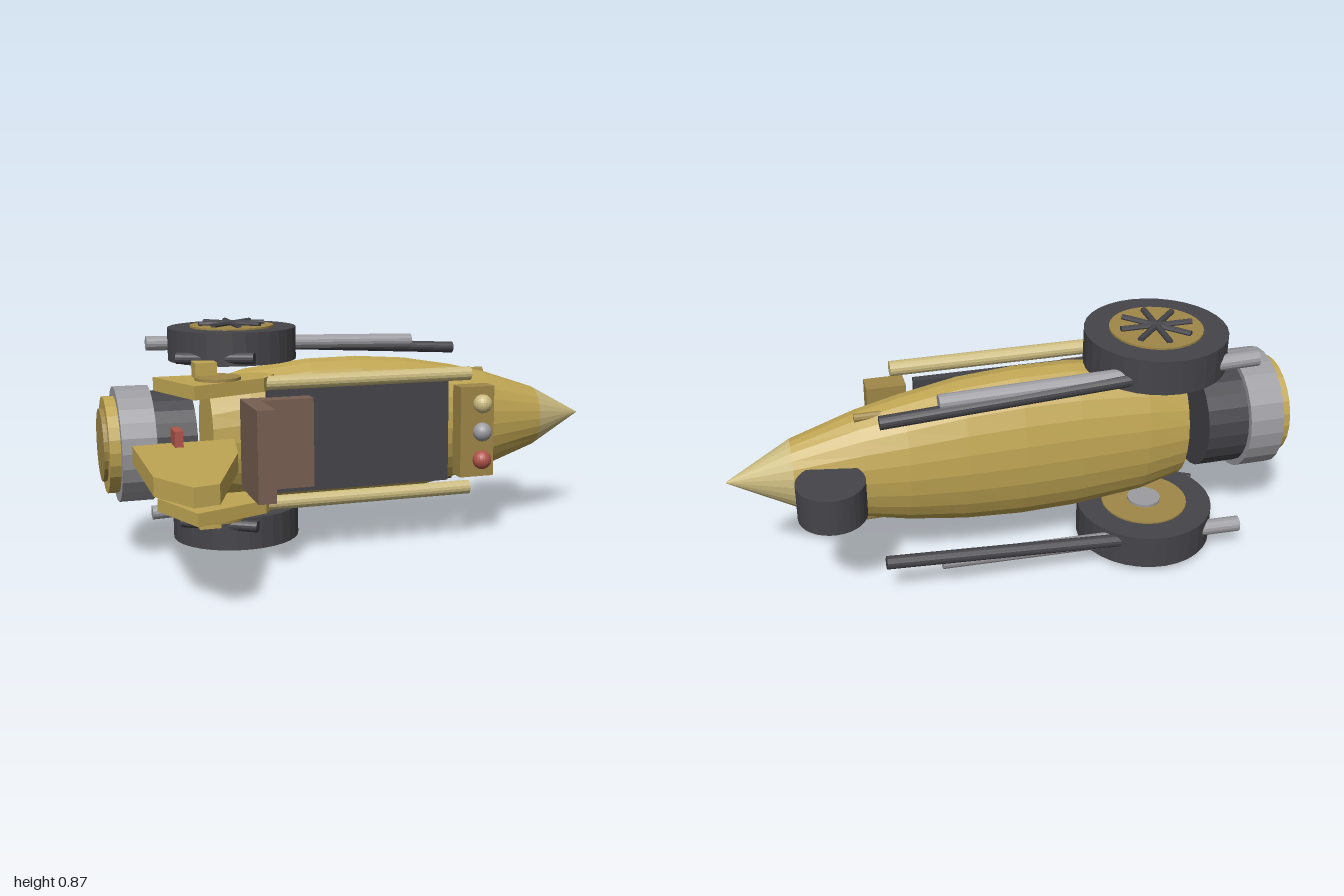
import * as THREE from 'three';

const MID = 0.434; // height of the mirror plane between the two flanks

export function createModel() {
  const mat = (name, color) => {
    const m = new THREE.MeshStandardMaterial({ color, flatShading: true });
    m.name = name;
    return m;
  };
  const gold = mat('gold', 0xbfa553);
  const bronze = mat('bronze', 0x9f8747);
  const pale = mat('paleGold', 0xcbbb80);
  const dark = mat('charcoal', 0x454449);
  const grey = mat('grey', 0x9c9ca1);
  const brown = mat('brown', 0x775f51);
  const red = mat('red', 0xb0554a);

  const model = new THREE.Group();
  model.name = 'racer';
  const add = (name, geo, material, x = 0, y = 0, z = 0) => {
    const m = new THREE.Mesh(geo, material);
    m.name = name;
    m.position.set(x, y, z);
    model.add(m);
    return m;
  };
  // Box given by its minimum and maximum corners
  const box = (name, material, a, b) =>
    add(name, new THREE.BoxGeometry(b[0] - a[0], b[1] - a[1], b[2] - a[2]), material,
      (a[0] + b[0]) / 2, (a[1] + b[1]) / 2, (a[2] + b[2]) / 2);
  // Round rod between two points
  const rod = (name, material, a, b, r, sides = 16) => {
    const p = new THREE.Vector3(...a), q = new THREE.Vector3(...b);
    const d = q.clone().sub(p);
    const m = add(name, new THREE.CylinderGeometry(r, r, d.length(), sides), material);
    m.position.copy(p).add(q).multiplyScalar(0.5);
    m.quaternion.setFromUnitVectors(new THREE.Vector3(0, 1, 0), d.normalize());
    return m;
  };
  // Plate cut from an x-z outline, spanning y0 to y1
  const plate = (name, material, pts, y0, y1) => {
    const shape = new THREE.Shape(pts.map(([x, z]) => new THREE.Vector2(x, -z)));
    const geo = new THREE.ExtrudeGeometry(shape, { depth: y1 - y0, bevelEnabled: false });
    geo.rotateX(-Math.PI / 2);
    return add(name, geo, material, 0, y0, 0);
  };
  // Elliptical loft along x; each section is [x, half y, half z, centre z]
  const loft = (name, material, sections, sides = 24) => {
    const n = sections.length - 1;
    const geo = new THREE.CylinderGeometry(1, 1, 1, sides, n);
    const p = geo.attributes.position;
    for (let i = 0; i < p.count; i++) {
      const [x, ry, rz, cz] = sections[Math.round((p.getY(i) + 0.5) * n)];
      p.setXYZ(i, x, MID - p.getX(i) * ry, cz + p.getZ(i) * rz);
    }
    geo.computeVertexNormals();
    return add(name, geo, material);
  };

  // Hull and nose
  loft('hull', gold, [
    [-0.6, 0.21, 0.15, -0.31], [-0.45, 0.255, 0.165, -0.315], [-0.2, 0.283, 0.172, -0.318],
    [0, 0.285, 0.175, -0.321], [0.2, 0.27, 0.172, -0.324], [0.4, 0.235, 0.157, -0.332],
    [0.55, 0.2, 0.138, -0.334], [0.78, 0.122, 0.096, -0.34],
  ]);
  loft('noseCone', pale, [[0.78, 0.122, 0.096, -0.34], [1, 0.002, 0.002, -0.348]]);

  // Engine at the tail
  const ring = (name, material, x0, x1, r) =>
    rod(name, material, [x0, MID, -0.28], [x1, MID, -0.28], r, 24);
  ring('engineDrum', dark, -0.83, -0.67, 0.193);
  ring('engineCollar', grey, -0.945, -0.82, 0.215);
  ring('engineRim', gold, -0.985, -0.945, 0.18);
  ring('engineCap', bronze, -1, -0.98, 0.135);

  // Tail fin and red cross light
  plate('tailFin', gold, [[-0.91, -0.08], [-0.91, 0.44], [-0.815, 0.625], [-0.73, 0.605],
    [-0.58, 0.17], [-0.54, -0.08]], 0.4, 0.465);
  box('tailLight', red, [-0.77, MID - 0.088, -0.085], [-0.74, MID + 0.088, 0.012]);

  // Cockpit
  box('cockpitFloor', dark, [-0.4, 0.234, -0.165], [0.325, 0.634, -0.135]);
  box('seatBase', brown, [-0.44, 0.265, -0.14], [-0.24, 0.602, -0.07]);
  box('seatBack', brown, [-0.503, 0.265, -0.14], [-0.437, 0.602, 0.137]);
  box('dashboard', bronze, [0.35, 0.255, -0.148], [0.49, 0.612, -0.068]);
  [[red, 0.323], [grey, 0.434], [pale, 0.545]].forEach(([m, y]) =>
    add('dashKnob', new THREE.SphereGeometry(0.037, 20, 14), m, 0.437, y, -0.057));

  // Front wheel
  add('frontWheel', new THREE.CylinderGeometry(0.115, 0.115, 0.13, 32), dark, 0.67, 0.431, -0.522);

  // Parts repeated on both flanks
  for (const s of [-1, 1]) {
    const Y = (d) => MID + s * d;
    const slab = (name, m, pts, d0, d1) =>
      plate(name, m, pts, Math.min(Y(d0), Y(d1)), Math.max(Y(d0), Y(d1)));
    const disc = (name, m, r, x, z, d0, d1, sides = 32) =>
      rod(name, m, [x, Y(d0), z], [x, Y(d1), z], r, sides);
    const wx = -0.477, wz = -0.38;

    // Rear wheel with hub and crossed spokes
    disc('rearWheel', dark, 0.245, wx, wz, 0.288, 0.411);
    disc('outerHub', bronze, 0.16, wx, wz, 0.4, 0.418);
    disc('innerHub', bronze, 0.155, wx, wz, 0.282, 0.3);
    disc('axle', grey, 0.06, wx, wz, 0.272, 0.3, 20);
    for (let i = 0; i < 4; i++) {
      const a = (i * Math.PI) / 4, dx = 0.127 * Math.cos(a), dz = 0.127 * Math.sin(a);
      rod('spoke', dark, [wx - dx, Y(0.423), wz - dz], [wx + dx, Y(0.423), wz + dz], 0.011, 8);
    }

    // Side rail, exhaust tubes and strut
    rod('sideRail', pale, [-0.42, Y(0.227), -0.104], [0.4, Y(0.227), -0.104], 0.027);
    rod('exhaustPipe', grey, [-0.785, Y(0.34), -0.535], [0.31, Y(0.313), -0.533], 0.028);
    rod('exhaustTip', dark, [-0.45, Y(0.33), -0.552], [0.505, Y(0.274), -0.548], 0.023);
    rod('strut', dark, [-0.71, Y(0.312), -0.26], [-0.45, Y(0.318), -0.115], 0.022);
    rod('sidePin', bronze, [0.46, Y(0.197), -0.365], [0.565, Y(0.197), -0.365], 0.015, 10);

    // Shoulder plate with its disc and block
    slab('shoulderPlate', gold, [[-0.808, -0.215], [-0.705, 0.058], [-0.43, -0.055],
      [-0.37, -0.15], [-0.42, -0.215]], 0.203, 0.253);
    disc('shoulderDisc', bronze, 0.083, -0.595, -0.078, 0.25, 0.264);
    box('shoulderBlock', gold, [-0.67, Math.min(Y(0.25), Y(0.31)), -0.19],
      [-0.59, Math.max(Y(0.25), Y(0.31)), -0.11]);
  }
  return model;
}
